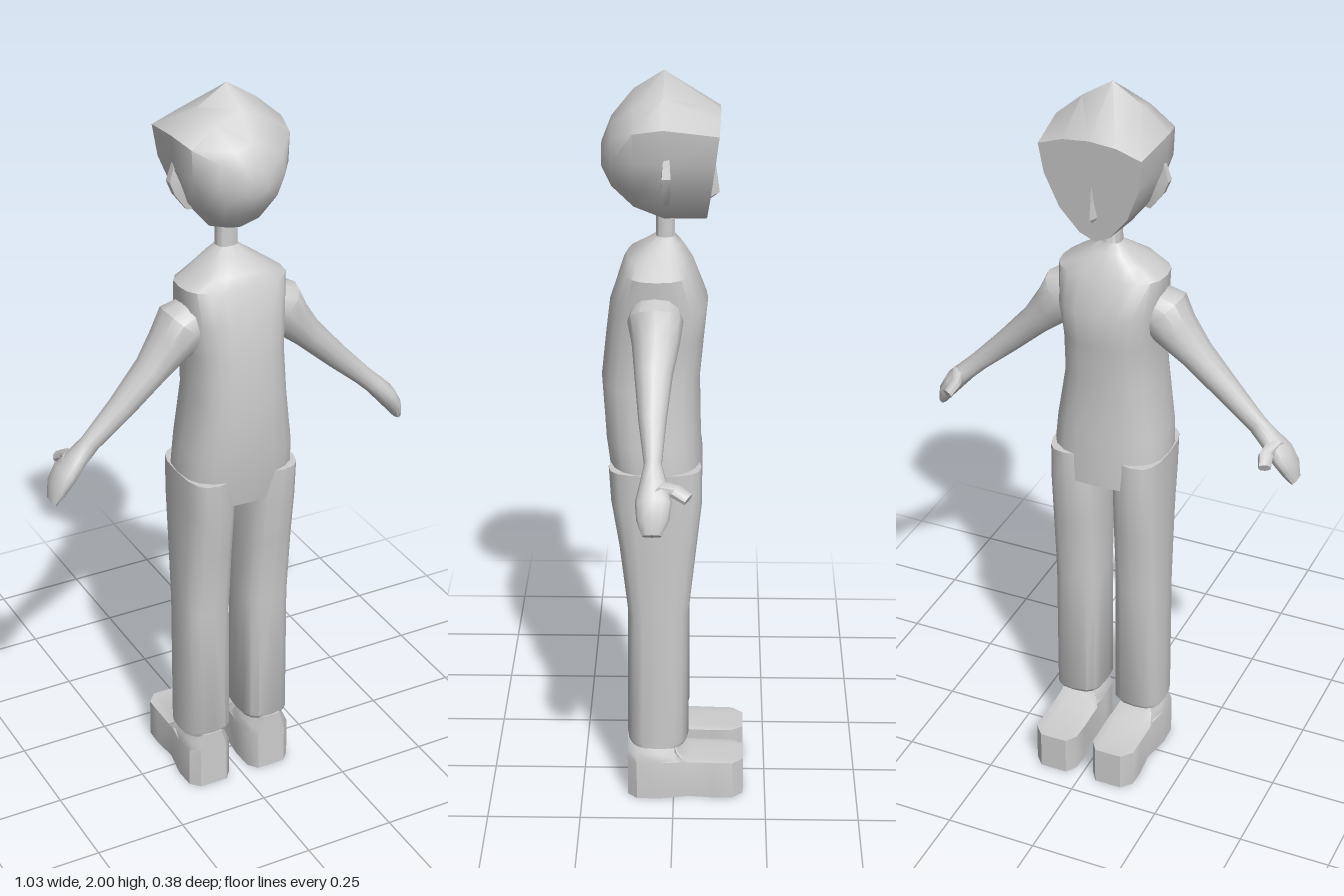
import * as THREE from 'three';
import { toCreasedNormals } from 'three/addons/utils/BufferGeometryUtils.js';

const V = (x, y, z) => new THREE.Vector3(x, y, z);

// Skin a list of equal-length rings, close both ends, and face everything outward
function loft(rings, crease = 0.75) {
  const n = rings[0].length, pos = [], idx = [];
  const add = p => pos.push(p.x, p.y, p.z) / 3 - 1;
  rings.forEach(r => r.forEach(add));
  for (let i = 0; i < rings.length - 1; i++)
    for (let j = 0; j < n; j++) {
      const k = (j + 1) % n, a = i * n + j, b = i * n + k, c = a + n, d = b + n;
      idx.push(a, b, d, a, d, c);
    }
  [0, rings.length - 1].forEach((i, end) => {
    const mid = rings[i].reduce((s, p) => s.add(p), V(0, 0, 0)).divideScalar(n);
    const m = add(mid);
    for (let j = 0; j < n; j++) {
      const a = i * n + j, b = i * n + (j + 1) % n;
      end ? idx.push(m, a, b) : idx.push(m, b, a);
    }
  });
  const at = i => V(pos[3 * i], pos[3 * i + 1], pos[3 * i + 2]);
  let volume = 0;
  for (let t = 0; t < idx.length; t += 3) volume += at(idx[t]).dot(at(idx[t + 1]).cross(at(idx[t + 2])));
  if (volume < 0) idx.reverse();
  const g = new THREE.BufferGeometry();
  g.setAttribute('position', new THREE.Float32BufferAttribute(pos, 3));
  g.setIndex(idx);
  return toCreasedNormals(g, crease);
}

// Rounded ring around centre c, spanned by half-axes u and v; power below 1 is squarer
function ring(c, u, v, power = 1, n = 16) {
  const f = t => Math.sign(t) * Math.abs(t) ** power;
  return Array.from({ length: n }, (_, i) => {
    const a = i / n * Math.PI * 2;
    return c.clone().addScaledVector(u, f(Math.cos(a))).addScaledVector(v, f(Math.sin(a)));
  });
}

// Horizontal ring from x and z limits
const level = (y, x0, x1, z0, z1, power, n) =>
  ring(V((x0 + x1) / 2, y, (z0 + z1) / 2), V((x1 - x0) / 2, 0, 0), V(0, 0, (z1 - z0) / 2), power, n);

export function createModel() {
  const model = new THREE.Group();
  const clay = new THREE.MeshStandardMaterial({ color: 0xcccccc });
  clay.name = 'pale grey';
  const part = (name, geometry) => {
    const m = new THREE.Mesh(geometry, clay);
    m.name = name;
    model.add(m);
  };

  // Head: half outlines, top to chin, from the flat face (-z) to the back
  const halves = [
    [-0.115, [0, 1.9], [0.07, 1.893], [0.135, 1.87], [0.125, 1.79], [0.09, 1.7], [0.04, 1.638], [0, 1.62]],
    [0.025, [0, 2], [0.08, 1.95], [0.15, 1.89], [0.142, 1.8], [0.108, 1.71], [0.05, 1.637], [0, 1.62]],
    [0.1, [0, 1.953], [0.07, 1.922], [0.133, 1.875], [0.13, 1.8], [0.1, 1.715], [0.05, 1.667], [0, 1.653]],
    [0.155, [0, 1.885], [0.045, 1.873], [0.085, 1.848], [0.09, 1.79], [0.07, 1.742], [0.035, 1.715], [0, 1.708]],
    [0.18, [0, 1.82], [0.02, 1.815], [0.03, 1.81], [0.035, 1.79], [0.03, 1.77], [0.015, 1.76], [0, 1.757]],
  ];
  part('head', loft(halves.map(([z, ...h], i) => {
    const full = [...h, ...h.slice(1, -1).reverse().map(([x, y]) => [-x, y])];
    // the face plane leans back towards the chin
    return full.map(([x, y]) => V(x, y, i ? z : z + (1.9 - y) * 0.125));
  }), 0.85));

  // Nose: small wedge on the face
  part('nose', loft([[1.77, 0.005, -0.102], [1.69, 0.014, -0.113], [1.675, 0.012, -0.092]].map(
    ([y, w, z]) => [V(-w, y, -0.08), V(0, y, z), V(w, y, -0.08)]), 0.3));

  // Torso and neck: y, half width, front z, back z
  part('torso', loft([
    [1.66, 0.027, -0.002, 0.045], [1.58, 0.028, -0.002, 0.046], [1.56, 0.055, -0.018, 0.075],
    [1.53, 0.1, -0.035, 0.118], [1.5, 0.143, -0.05, 0.133], [1.41, 0.135, -0.086, 0.163],
    [1.32, 0.125, -0.077, 0.174], [1.2, 0.127, -0.066, 0.187], [1.05, 0.15, -0.069, 0.178],
    [0.97, 0.156, -0.073, 0.168], [0.9, 0.156, -0.073, 0.155],
  ].map(([y, w, f, b]) => level(y, -w, w, f, b, 0.75, 20))));

  for (const s of [1, -1]) {
    const side = s > 0 ? 'left' : 'right';

    // Trouser leg
    part(side + 'Leg', loft([
      [0.98, 0.03, -0.072, 0.168], [0.88, 0.02, -0.074, 0.163], [0.75, 0.019, -0.06, 0.143],
      [0.56, 0.019, -0.04, 0.122], [0.18, 0.018, -0.04, 0.125], [0.165, 0.028, -0.03, 0.115],
    ].map(([y, inner, f, b]) => level(y, s * inner, s * 0.157, f, b, 0.7))));

    // Shoe: waisted sole outline raised to the toe top, then drawn in to the ankle
    const sole = [[0.05, 0.125], [0.03, 0.1], [0.027, 0.04], [0.035, -0.04], [0.023, -0.11], [0.025, -0.16],
      [0.045, -0.19], [0.12, -0.19], [0.146, -0.16], [0.147, -0.11], [0.14, -0.04], [0.155, 0.04],
      [0.153, 0.1], [0.13, 0.125]];
    part(side + 'Shoe', loft([[0.005, 1, -0.19], [0.115, 1, -0.19], [0.118, 1, -0.045],
      [0.14, 0.85, -0.015], [0.175, 0.6, 0.005]].map(([y, k, front]) => sole.map(([x, z]) =>
      V(s * (0.09 + (x - 0.09) * k), y, z < 0 ? z * front / -0.19 : z))), 0.7));

    // Arm and hand: x, y, half thickness, half depth, z
    part(side + 'Arm', loft([
      [0.08, 1.42, 0.06, 0.06, 0.045], [0.132, 1.395, 0.072, 0.07, 0.045], [0.17, 1.35, 0.056, 0.06, 0.043],
      [0.225, 1.29, 0.041, 0.048, 0.047], [0.31, 1.205, 0.033, 0.035, 0.048], [0.395, 1.125, 0.026, 0.022, 0.045],
      [0.43, 1.092, 0.026, 0.033, 0.043], [0.465, 1.056, 0.028, 0.045, 0.042],
      [0.49, 1.02, 0.023, 0.04, 0.043], [0.505, 0.985, 0.011, 0.024, 0.045],
    ].map(([x, y, h, d, z]) => ring(V(s * x, y, z), V(s * 0.73 * h, 0.68 * h, 0), V(0, 0, d), 0.9, 12))));

    // Thumb pointing forward
    part(side + 'Thumb', loft([[0.45, 1.085, 0.03, 0.022], [0.44, 1.075, -0.01, 0.017], [0.449, 1.057, -0.042, 0.015]]
      .map(([x, y, z, r]) => ring(V(s * x, y, z), V(s * r, 0, r * 0.5), V(0, r * 0.8, r * -0.4), 0.9, 8))));

    // Thin teardrop ear
    part(side + 'Ear', loft([[1.825, 0.139, 0.004], [1.77, 0.156, 0.012], [1.735, 0.142, 0.01], [1.69, 0.108, 0.004]]
      .map(([y, x, d]) => [V(s * 0.09, y, 0.02 - d), V(s * x, y, 0.012 - d * 0.5),
        V(s * x, y, 0.022 + d * 0.5), V(s * 0.09, y, 0.02 + d)]), 0.5));
  }
  return model;
}
